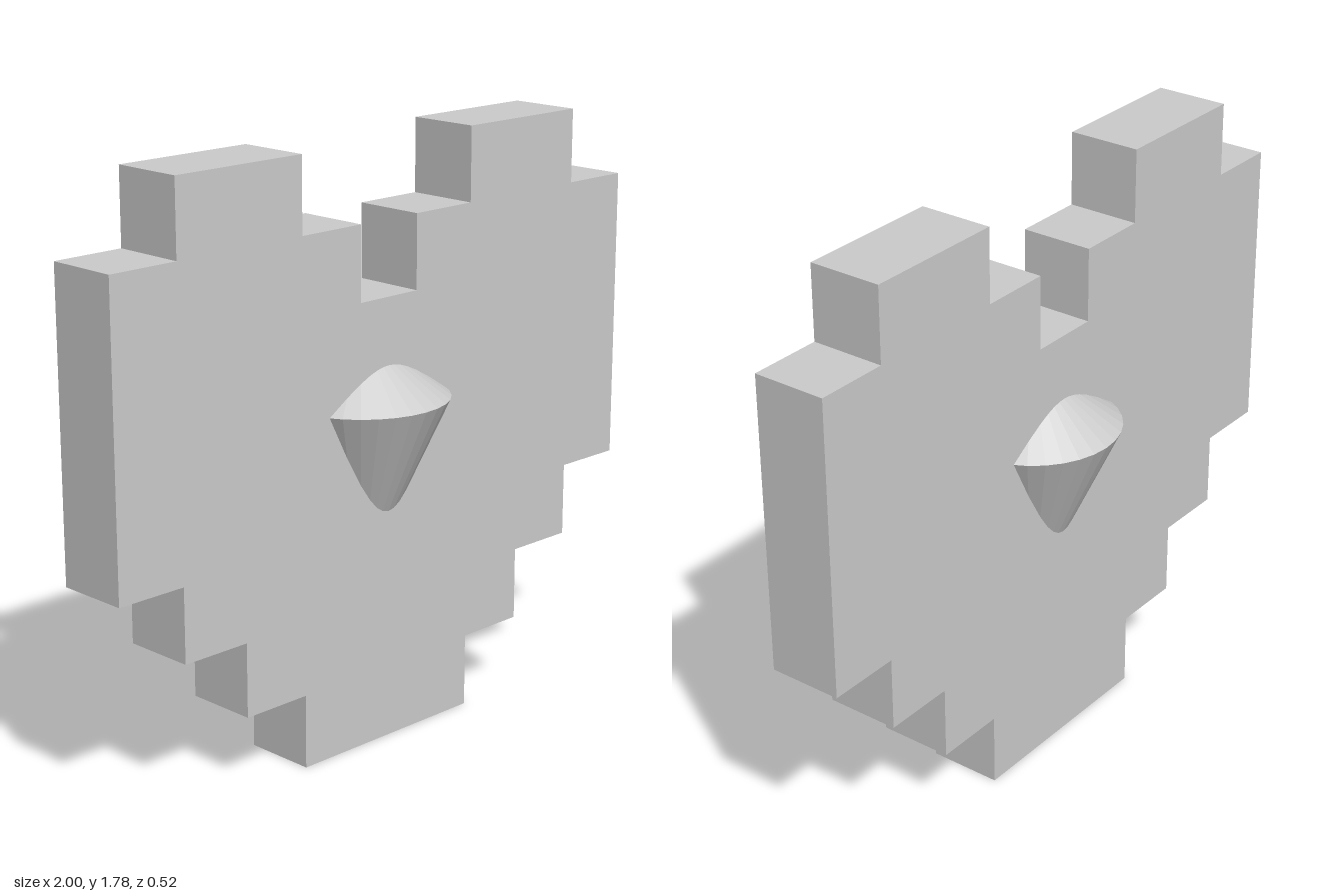
import * as THREE from 'three';

const U = 2 / 9; // one pixel of the stepped heart

export function createModel() {
  const group = new THREE.Group();
  const flat = new THREE.MeshStandardMaterial({ color: 0xcccccc, flatShading: true });

  // Stepped heart plate: right-hand half outline in pixels, bottom to notch, then mirrored
  const half = [
    [1.5, 0], [1.5, 1], [2.5, 1], [2.5, 2], [3.5, 2], [3.5, 3], [4.5, 3],
    [4.5, 7], [3.5, 7], [3.5, 8], [1.5, 8], [1.5, 7], [0.5, 7], [0.5, 6],
  ];
  const mirrored = half.map(([x, y]) => [-x, y]).reverse();
  const outline = [...half, ...mirrored].map(([x, y]) => new THREE.Vector2(x * U, y * U));
  const plateGeometry = new THREE.ExtrudeGeometry(new THREE.Shape(outline), { depth: U, bevelEnabled: false });
  plateGeometry.translate(0, 0, -U / 2);
  const plate = new THREE.Mesh(plateGeometry, flat);
  plate.name = 'heartPlate';
  group.add(plate);

  // Faceted gem through the middle: shallow cone above, steep cone below
  const profile = [[0, 0.455], [0.26, 1.025], [0, 1.215]].map(([r, y]) => new THREE.Vector2(r, y));
  const gem = new THREE.Mesh(new THREE.LatheGeometry(profile, 32), flat);
  gem.name = 'gem';
  group.add(gem);

  return group;
}
